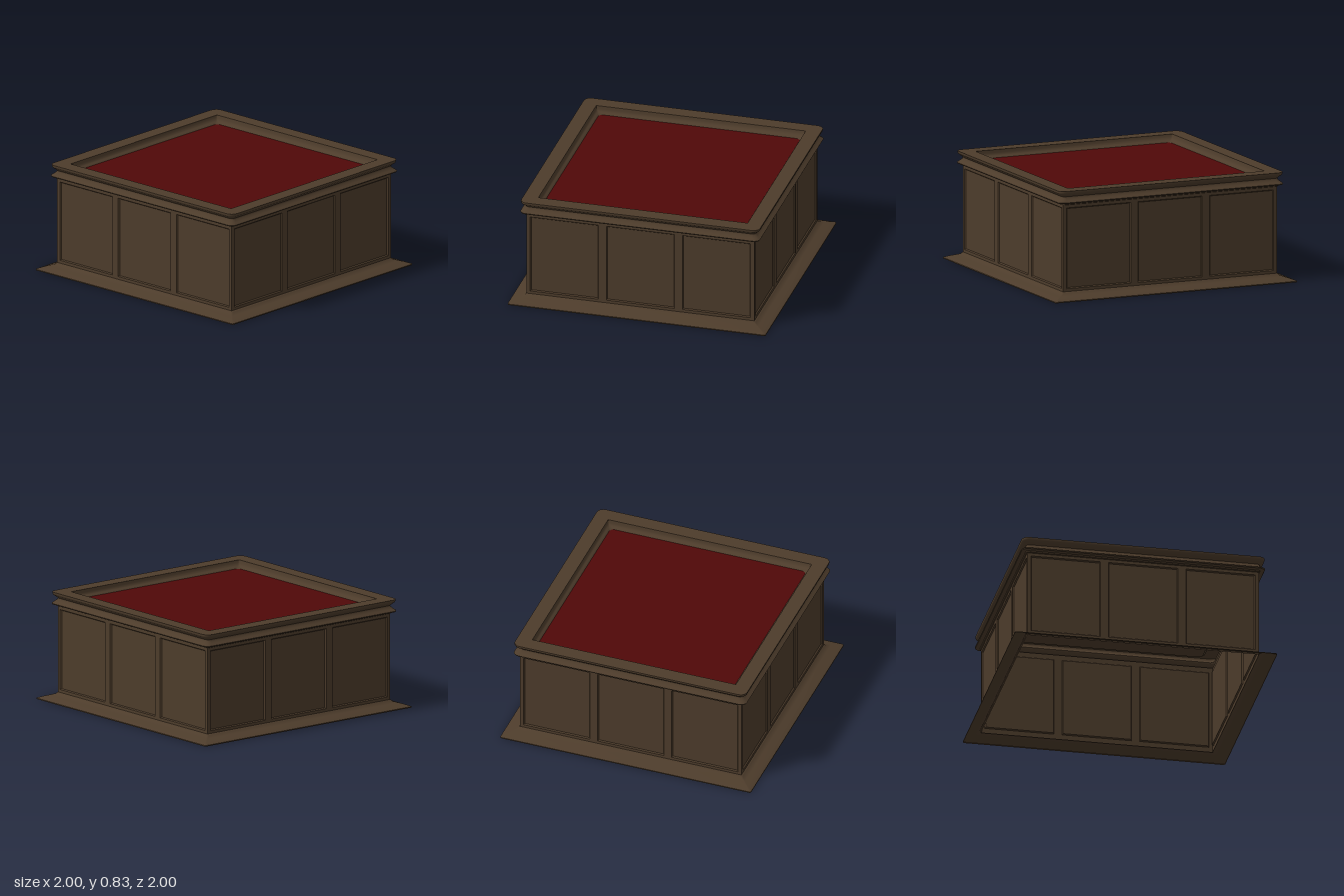
import * as THREE from 'three';
import { toCreasedNormals } from 'three/addons/utils/BufferGeometryUtils.js';

const wood = new THREE.MeshStandardMaterial({ name: 'dark wood', color: 0x4d3c2b, side: THREE.DoubleSide });
const felt = new THREE.MeshStandardMaterial({ name: 'deep red felt', color: 0x500808 });

const WALL = 0.883;

function add(parent, name, geometry, material = wood) {
  const mesh = new THREE.Mesh(geometry, material);
  mesh.name = name;
  parent.add(mesh);
  return mesh;
}

// Sweeps a profile of [half width, height, corner radius] round a square
function squareMoulding(profile, steps = 6) {
  const positions = [], index = [];
  const n = 4 * (steps + 1);
  for (const [half, y, r] of profile) {
    for (let corner = 0; corner < 4; corner++) {
      const mid = Math.PI / 4 + corner * Math.PI / 2;
      const cx = Math.sign(Math.cos(mid)) * (half - r);
      const cz = Math.sign(Math.sin(mid)) * (half - r);
      for (let s = 0; s <= steps; s++) {
        const a = (corner + s / steps) * Math.PI / 2;
        positions.push(cx + r * Math.cos(a), y, -(cz + r * Math.sin(a)));
      }
    }
  }
  for (let k = 0; k < profile.length - 1; k++) {
    for (let i = 0; i < n; i++) {
      const a = k * n + i, a1 = k * n + (i + 1) % n;
      index.push(a, a1, a1 + n, a, a1 + n, a + n);
    }
  }
  const g = new THREE.BufferGeometry();
  g.setAttribute('position', new THREE.Float32BufferAttribute(positions, 3));
  g.setIndex(index);
  return toCreasedNormals(g, 0.7);
}

// Flat square with rounded corners, facing up
function roundedSquare(half, r) {
  const s = new THREE.Shape(), c = half - r;
  s.absarc(c, c, r, 0, Math.PI / 2);
  s.absarc(-c, c, r, Math.PI / 2, Math.PI);
  s.absarc(-c, -c, r, Math.PI, Math.PI * 1.5);
  s.absarc(c, -c, r, Math.PI * 1.5, Math.PI * 2);
  return new THREE.ShapeGeometry(s, 6).rotateX(-Math.PI / 2);
}

const corners = (x0, x1, y0, y1) => [[x0, y0], [x1, y0], [x1, y1], [x0, y1]];
const outline = (pts, Type) => new Type(pts.map(([x, y]) => new THREE.Vector2(x, y)));

// Sloped border leading from the wall face down to a sunken panel
function panelBevel(outer, inner, z, depth) {
  const positions = [], index = [];
  for (let i = 0; i < 4; i++) {
    const j = (i + 1) % 4, b = i * 4;
    positions.push(...outer[i], z, ...outer[j], z, ...inner[j], z - depth, ...inner[i], z - depth);
    index.push(b, b + 1, b + 2, b, b + 2, b + 3);
  }
  const g = new THREE.BufferGeometry();
  g.setAttribute('position', new THREE.Float32BufferAttribute(positions, 3));
  g.setIndex(index);
  g.computeVertexNormals();
  return g;
}

// One side: a thin frame with three sunken panels
function panelledWall() {
  const wall = new THREE.Group();
  const frame = outline(corners(-WALL, WALL, 0.04, 0.735), THREE.Shape);
  const depth = 0.01, inset = 0.007;
  for (const x of [-0.59, 0, 0.59]) {
    const outer = corners(x - 0.265, x + 0.265, 0.08, 0.695);
    const inner = corners(x - 0.265 + inset, x + 0.265 - inset, 0.08 + inset, 0.695 - inset);
    frame.holes.push(outline(outer.slice().reverse(), THREE.Path));
    add(wall, 'panelBevel', panelBevel(outer, inner, WALL, depth));
    add(wall, 'panel', new THREE.ShapeGeometry(outline(inner, THREE.Shape)).translate(0, 0, WALL - depth));
  }
  add(wall, 'wallFrame', new THREE.ShapeGeometry(frame).translate(0, 0, WALL));
  return wall;
}

export function createModel() {
  const model = new THREE.Group();
  model.name = 'panelledPlinth';

  // Flared foot moulding, open underneath
  add(model, 'baseMoulding', squareMoulding([
    [1, 0, 0.015], [1, 0.008, 0.015], [0.965, 0.022, 0.014], [0.925, 0.035, 0.012],
    [0.896, 0.045, 0.01], [0.89, 0.054, 0.008], [WALL, 0.058, 0.002],
  ]));

  // Four panelled sides
  for (let i = 0; i < 4; i++) {
    const wall = panelledWall();
    wall.name = ['frontWall', 'leftWall', 'backWall', 'rightWall'][i];
    wall.rotation.y = i * Math.PI / 2;
    model.add(wall);
  }

  // Cornice with a waist and a flat rim
  add(model, 'cornice', squareMoulding([
    [WALL, 0.718, 0.002], [0.89, 0.722, 0.01], [0.893, 0.732, 0.02],
    [0.925, 0.734, 0.045], [0.929, 0.742, 0.048], [0.912, 0.756, 0.04],
    [0.893, 0.772, 0.03], [0.891, 0.782, 0.03], [0.905, 0.795, 0.04],
    [0.922, 0.808, 0.05], [0.926, 0.818, 0.052], [0.926, 0.829, 0.052],
    [0.812, 0.829, 0.004],
  ]));

  // Rounded lip dropping from the rim to the sunken top
  add(model, 'innerLip', squareMoulding([
    [0.812, 0.829, 0.004], [0.809, 0.805, 0.008], [0.804, 0.792, 0.014],
    [0.795, 0.784, 0.022], [0.786, 0.779, 0.029], [0.78, 0.772, 0.034],
  ]));

  // Red top with a wooden underside
  add(model, 'redTop', roundedSquare(0.781, 0.034), felt).position.y = 0.773;
  add(model, 'topUnderside', roundedSquare(0.782, 0.034)).position.y = 0.768;

  return model;
}
